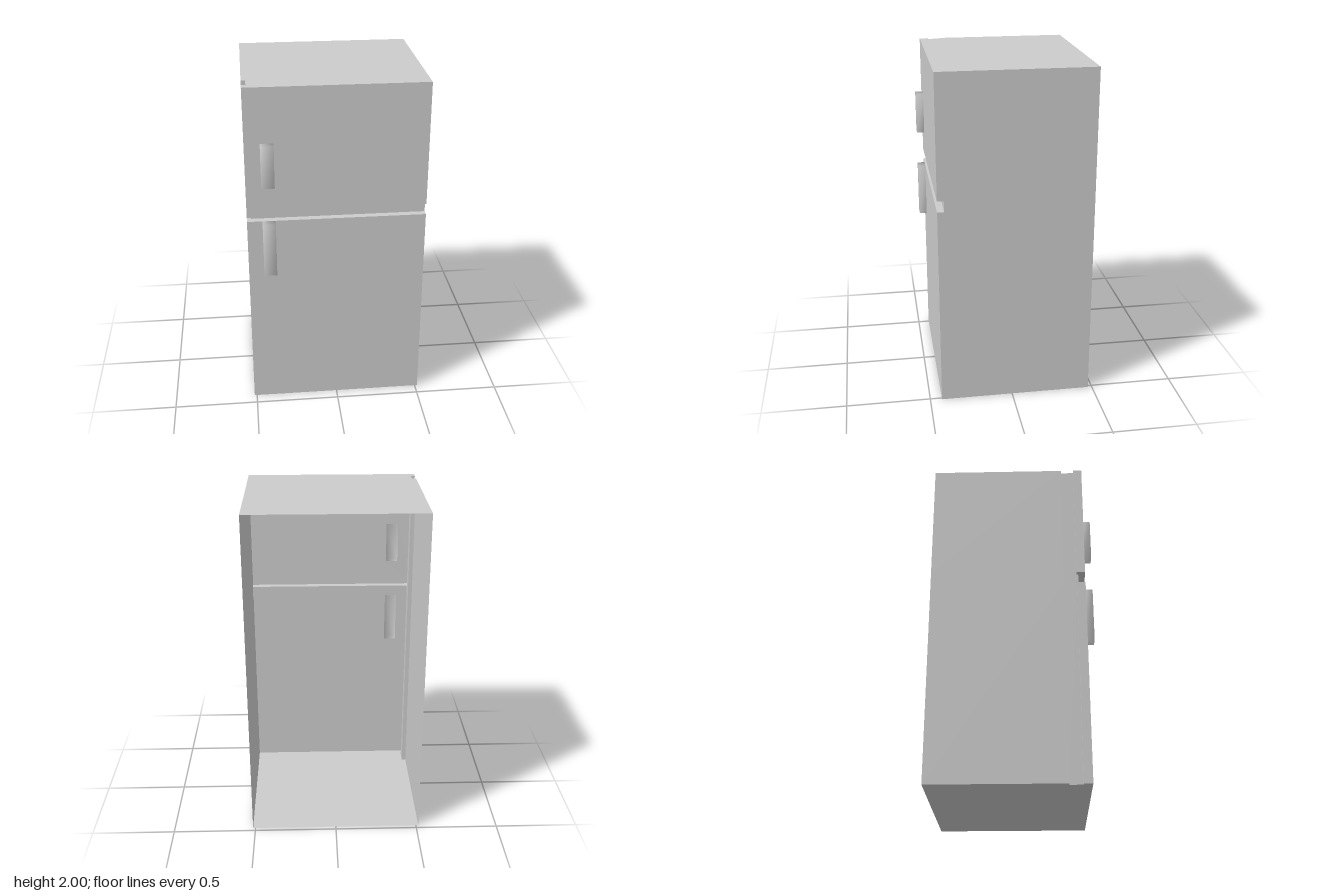
import * as THREE from 'three';
import { mergeVertices } from 'three/addons/utils/BufferGeometryUtils.js';

const X = 0.515, BACK = -0.475, FRONT = 0.43, TOP = 2;
const GAP0 = 1.21, GAP1 = 1.275, GAP_Z = 0.39;       // slot between the two doors
const G0 = 0.305, G1 = 0.38, GX = -0.49;             // vertical groove in the side

const shell = new THREE.MeshStandardMaterial({ color: 0xcccccc, side: THREE.DoubleSide });

function add(group, name, geometry) {
  const mesh = new THREE.Mesh(geometry, shell);
  mesh.name = name;
  group.add(mesh);
  return mesh;
}

const toShape = (pts) => new THREE.Shape(pts.map(([x, y]) => new THREE.Vector2(x, y)));

// upright walls following a plan path of [x, z] points
function walls(path, y0, y1) {
  const pos = [];
  for (let i = 0; i < path.length - 1; i++) {
    const [ax, az] = path[i], [bx, bz] = path[i + 1];
    pos.push(ax, y0, az, bx, y0, bz, bx, y1, bz, ax, y0, az, bx, y1, bz, ax, y1, az);
  }
  const g = new THREE.BufferGeometry();
  g.setAttribute('position', new THREE.Float32BufferAttribute(pos, 3));
  g.computeVertexNormals();
  return g;
}

// horizontal sheet from a plan outline, facing up or down
function sheet(outline, y, up) {
  const g = new THREE.ShapeGeometry(toShape(outline.map(([x, z]) => [x, up ? -z : z])));
  g.rotateX(up ? -Math.PI / 2 : Math.PI / 2);
  return g.translate(0, y, 0);
}

// hollow handle, open towards the door, with softened shading
function handleGeometry({ x0, x1, y0, y1 }) {
  const depth = 0.045;
  let g = new THREE.BoxGeometry(x1 - x0, y1 - y0, depth);
  g.deleteAttribute('normal');
  g.deleteAttribute('uv');
  g.clearGroups();
  g.setIndex(Array.from(g.index.array).slice(0, 30));
  g = mergeVertices(g);
  g.computeVertexNormals();
  return g.translate((x0 + x1) / 2, (y0 + y1) / 2, FRONT + depth / 2);
}

// door face with an opening behind its handle
function doorFace(y0, y1, h) {
  const s = toShape([[-X, y0], [X, y0], [X, y1], [-X, y1]]);
  s.holes.push(toShape([[h.x0, h.y0], [h.x0, h.y1], [h.x1, h.y1], [h.x1, h.y0]]));
  return new THREE.ShapeGeometry(s).translate(0, 0, FRONT);
}

export function createModel() {
  const model = new THREE.Group();
  model.name = 'refrigerator';

  const grooveSide = [[-X, BACK], [-X, G0], [GX, G0], [GX, G1], [-X, G1], [-X, FRONT]];
  const plainSide = [[X, FRONT], [X, BACK]];
  const plan = [...grooveSide, ...plainSide];

  // cabinet shell, open at the back
  add(model, 'topPanel', sheet(plan, TOP, true));
  add(model, 'bottomPanel', sheet(plan, 0, false));

  // slot between the doors
  add(model, 'doorGap', walls(
    [[-X, BACK], [-X, G0], [GX, G0], [GX, GAP_Z], [X, GAP_Z], [X, BACK]], GAP0, GAP1));
  const ledge = [[-X, G1], [-X, FRONT], [X, FRONT], [X, GAP_Z], [GX, GAP_Z], [GX, G1]];

  // doors with side walls, edges and handles
  const doors = [
    { name: 'freezerDoor', y0: GAP1, y1: TOP, ledgeY: GAP1, up: false, handle: [1.43, 1.68] },
    { name: 'mainDoor', y0: 0, y1: GAP0, ledgeY: GAP0, up: true, handle: [0.88, 1.208] },
  ];
  for (const d of doors) {
    const part = new THREE.Group();
    part.name = d.name;
    const h = { x0: -0.427, x1: -0.353, y0: d.handle[0], y1: d.handle[1] };
    add(part, d.name + 'Face', doorFace(d.y0, d.y1, h));
    add(part, d.name + 'GroovedSide', walls(grooveSide, d.y0, d.y1));
    add(part, d.name + 'PlainSide', walls(plainSide, d.y0, d.y1));
    add(part, d.name + 'Edge', sheet(ledge, d.ledgeY, d.up));
    add(part, d.name + 'Handle', handleGeometry(h));
    model.add(part);
  }
  return model;
}
